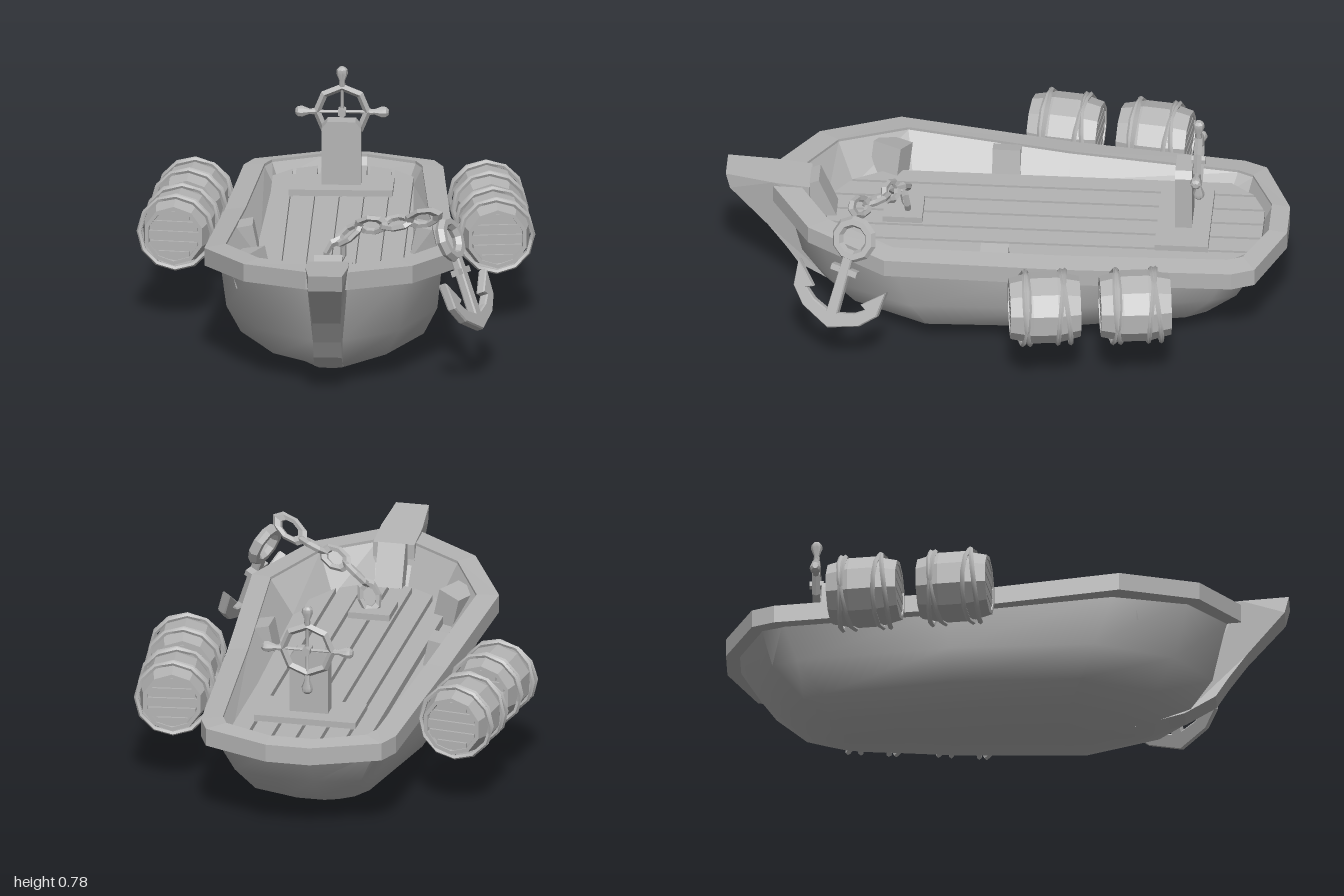
import * as THREE from 'three';
import { toCreasedNormals } from 'three/addons/utils/BufferGeometryUtils.js';

const paint = new THREE.MeshStandardMaterial({ color: 0xb4b4b4 });
paint.name = 'plain grey';

const V = (x, y, z) => new THREE.Vector3(x, y, z);
const crease = (g, angle = 0.5) => toCreasedNormals(g, angle);
function flat(g) {
  const f = g.index ? g.toNonIndexed() : g;
  f.computeVertexNormals();
  return f;
}
function add(parent, name, geometry, x = 0, y = 0, z = 0) {
  const m = new THREE.Mesh(geometry, paint);
  m.name = name;
  m.position.set(x, y, z);
  parent.add(m);
  return m;
}
const box = (parent, name, w, h, d, x, y, z) => add(parent, name, new THREE.BoxGeometry(w, h, d), x, y, z);

// Height of the rail along the boat
const sheer = z => 0.41 + 0.065 * z + 0.03 * z * z;

// Closed ring of points from one half outline (stern to bow) and a height rule
function ring(half, height) {
  const right = half.map(([x, z]) => V(x, height(z), z));
  const left = right.slice().reverse().map(p => V(-p.x, p.y, p.z));
  return right.concat(left);
}
function loft(rows) {
  const n = rows[0].length, pos = [], idx = [];
  rows.forEach(r => r.forEach(p => pos.push(p.x, p.y, p.z)));
  for (let i = 0; i < rows.length - 1; i++) for (let j = 0; j < n; j++) {
    const k = (j + 1) % n, a = i * n + j, b = i * n + k, c = a + n, d = b + n;
    idx.push(a, c, b, b, c, d);
  }
  const g = new THREE.BufferGeometry();
  g.setAttribute('position', new THREE.Float32BufferAttribute(pos, 3));
  g.setIndex(idx);
  return g;
}

const railOuter = [[0.08, -1], [0.32, -0.9], [0.355, -0.82], [0.4, -0.2], [0.45, 0.41], [0.3, 0.69], [0.075, 0.83]];
const railInner = [[0.08, -0.935], [0.255, -0.855], [0.28, -0.8], [0.325, -0.2], [0.375, 0.38], [0.25, 0.62], [0.07, 0.73]];
const floorEdge = [[0.08, -0.91], [0.235, -0.84], [0.25, -0.78], [0.27, -0.2], [0.29, 0.36], [0.19, 0.56], [0.06, 0.65]];
const FLOOR = 0.33;

function buildHull(boat) {
  const keel = [[0, -0.58], [0, -0.57], [0, -0.55], [0, -0.2], [0, 0.22], [0, 0.36], [0, 0.44]];
  const bilge = [[0.05, -0.63], [0.1, -0.61], [0.13, -0.57], [0.18, -0.2], [0.19, 0.22], [0.11, 0.4], [0.04, 0.5]];
  const turn = [[0.06, -0.76], [0.18, -0.72], [0.22, -0.65], [0.31, -0.2], [0.325, 0.27], [0.2, 0.53], [0.05, 0.65]];
  const chine = [[0.07, -0.88], [0.23, -0.83], [0.27, -0.74], [0.36, -0.2], [0.375, 0.32], [0.25, 0.6], [0.05, 0.73]];
  const top = [[0.07, -0.96], [0.29, -0.87], [0.32, -0.79], [0.365, -0.2], [0.395, 0.39], [0.27, 0.65], [0.06, 0.79]];
  add(boat, 'hull', crease(loft([
    ring(keel, () => 0), ring(bilge, () => 0.02), ring(turn, () => 0.08),
    ring(chine, () => 0.19), ring(top, z => sheer(z) - 0.06),
  ]), 0.75));

  const under = z => sheer(z) - 0.075;
  add(boat, 'rail', flat(loft([
    ring(railInner, under), ring(railOuter, under), ring(railOuter, z => sheer(z) - 0.01),
    ring(railInner, sheer), ring(railInner, under),
  ])));
  add(boat, 'innerWall', flat(loft([
    ring(railInner, z => sheer(z) - 0.01), ring(floorEdge, () => FLOOR - 0.02),
    ring(floorEdge.map(([, z]) => [0, z]), () => FLOOR - 0.02),
  ])));

  // Stem post, drawn in side profile and flared at the head
  const profile = [[1, 0.51], [0.985, 0.45], [0.85, 0.29], [0.785, 0.2], [0.74, 0.13], [0.63, 0.065], [0.45, 0.015],
    [0.45, 0.05], [0.6, 0.12], [0.66, 0.2], [0.7, 0.42], [0.7, 0.475], [0.83, 0.49]];
  const stem = new THREE.ExtrudeGeometry(new THREE.Shape(profile.map(p => new THREE.Vector2(-p[0], p[1]))),
    { depth: 0.1, bevelEnabled: false });
  stem.translate(0, 0, -0.05).rotateY(Math.PI / 2);
  const p = stem.attributes.position;
  for (let i = 0; i < p.count; i++) {
    const wide = p.getY(i) > 0.4 ? (p.getZ(i) > 0.9 ? 1.2 : 1.5) : 1;
    p.setX(i, p.getX(i) * wide);
  }
  add(boat, 'stem', flat(stem));
}

// Limit of the floor at a given distance from the centreline
function edgeAt(points, x) {
  for (let i = 1; i < points.length; i++) {
    const [x0, z0] = points[i - 1], [x1, z1] = points[i];
    if (x <= x1) return z0 + (z1 - z0) * Math.max(0, (x - x0) / (x1 - x0));
  }
  return points[points.length - 1][1];
}

function buildDeck(boat) {
  const stern = floorEdge.slice(0, 3), bow = floorEdge.slice(4).reverse();
  const step = 0.0875, gap = 0.006;
  for (const side of [-1, 1]) for (let i = 0; i < 3; i++) {
    const a = i * step + gap, b = i === 2 ? 0.25 : (i + 1) * step - gap;
    const s = new THREE.Shape([[a, edgeAt(stern, a)], [b, edgeAt(stern, b)], [b, edgeAt(bow, b)], [a, edgeAt(bow, a)]]
      .map(q => new THREE.Vector2(side * q[0], -q[1])));
    const g = new THREE.ExtrudeGeometry(s, { depth: 0.03, bevelEnabled: false }).rotateX(-Math.PI / 2);
    add(boat, 'deckPlank', g, 0, FLOOR - 0.02, 0);
  }
  // Knees against the inner wall
  for (const s of [-1, 1]) box(boat, 'sideKnee', 0.07, 0.1, 0.1, s * 0.315, 0.36, 0.025).rotation.z = -s * 0.2;
  const bowKnee = box(boat, 'quarterKnee', 0.09, 0.12, 0.11, -0.285, 0.37, 0.435);
  bowKnee.rotation.set(0, -0.45, 0.25);
  box(boat, 'stemKnee', 0.1, 0.16, 0.08, 0, 0.4, 0.675).rotation.x = 0.4;
}

function buildHelm(boat) {
  box(boat, 'helmPlate', 0.37, 0.025, 0.19, 0, 0.35, -0.63);
  const post = new THREE.Shape([[-0.07, 0], [0.07, 0], [0.07, 0.225], [0.05, 0.25], [-0.05, 0.25], [-0.07, 0.225]]
    .map(q => new THREE.Vector2(...q)));
  add(boat, 'helmPost', new THREE.ExtrudeGeometry(post, { depth: 0.06, bevelEnabled: false }), 0, 0.345, -0.66);
  const wheel = new THREE.Group();
  wheel.name = 'steeringWheel';
  wheel.position.set(0, 0.61, -0.68);
  add(wheel, 'wheelRim', flat(new THREE.TorusGeometry(0.09, 0.014, 4, 8)));
  add(wheel, 'hub', flat(new THREE.CylinderGeometry(0.016, 0.016, 0.05, 6).rotateX(Math.PI / 2)));
  const handle = [[0, 0.01], [0.006, 0.01], [0.006, 0.085], [0.012, 0.1], [0.01, 0.115], [0.021, 0.142], [0.019, 0.157],
    [0.01, 0.166], [0, 0.167]].map(q => new THREE.Vector2(...q));
  for (let i = 0; i < 4; i++)
    add(wheel, 'spoke', crease(new THREE.LatheGeometry(handle, 8))).rotation.z = i * Math.PI / 2;
  boat.add(wheel);
}

function buildBarrel(boat, x, z, side) {
  const barrel = new THREE.Group();
  barrel.name = 'barrel';
  barrel.position.set(x, 0.335, z);
  barrel.rotation.y = side * 0.13;
  // Staves with a recessed head at both ends
  const profile = [[0, -0.112], [0.092, -0.112], [0.094, -0.125], [0.108, -0.125], [0.127, -0.045], [0.127, 0.045],
    [0.108, 0.125], [0.094, 0.125], [0.092, 0.112], [0, 0.112]].map(q => new THREE.Vector2(...q));
  add(barrel, 'staves', flat(new THREE.LatheGeometry(profile, 10).rotateX(Math.PI / 2)));
  for (const end of [-1, 1]) for (let i = -2; i <= 2; i++) {
    const y = i * 0.037;
    box(barrel, 'headBoard', 2 * Math.sqrt(0.0085 - y * y), 0.031, 0.012, 0, y, end * 0.115);
  }
  // Rope turns, each a little askew
  [[-0.075, 0.1, 0.06], [-0.06, -0.08, -0.1], [0.06, 0.09, -0.08], [0.075, -0.1, 0.07]].forEach(([d, tx, ty]) => {
    const rope = add(barrel, 'rope', crease(new THREE.TorusGeometry(0.131, 0.009, 5, 12)), 0, 0, d);
    rope.rotation.set(tx, ty, 0);
  });
  boat.add(barrel);
}

function buildAnchor(boat) {
  // Anchor lies in the plane of its arms and its slanting shank
  const crown = V(0.535, 0.2, 0.6);
  const arm = V(-0.13, 0.04, 0.315).normalize();
  const up = V(-0.13, 0.33, -0.05);
  up.addScaledVector(arm, -up.dot(arm)).normalize();
  const anchor = new THREE.Group();
  anchor.name = 'anchor';
  anchor.setRotationFromMatrix(new THREE.Matrix4().makeBasis(arm, up, arm.clone().cross(up)));
  anchor.position.copy(crown);
  const half = [[0.11, 0.045], [0.162, 0.1], [0.172, 0.19], [0.1, 0.12], [0.122, 0.108], [0.08, 0.075], [0.018, 0.055], [0.014, 0.28]];
  const outline = [[0, 0], ...half, ...half.slice().reverse().map(([a, b]) => [-a, b])];
  add(anchor, 'anchorBody', new THREE.ExtrudeGeometry(new THREE.Shape(outline.map(q => new THREE.Vector2(...q))),
    { depth: 0.022, bevelEnabled: true, bevelSize: 0.004, bevelThickness: 0.006, bevelSegments: 1 }).translate(0, 0, -0.011));
  box(anchor, 'stock', 0.1, 0.022, 0.03, 0, 0.215, 0);
  add(anchor, 'anchorRing', flat(new THREE.TorusGeometry(0.064, 0.021, 6, 10)), 0, 0.335, 0);
  boat.add(anchor);

  // Chain from the deck plate over the rail to the anchor ring
  box(boat, 'chainPlate', 0.15, 0.025, 0.14, 0, 0.35, 0.37);
  const path = [V(0, 0.355, 0.36), V(0.025, 0.45, 0.37), V(0.1, 0.51, 0.385), V(0.19, 0.535, 0.425),
    V(0.28, 0.555, 0.475), V(0.385, 0.605, 0.53)];
  for (let i = 1; i < path.length; i++) {
    const a = path[i - 1], b = path[i], dir = b.clone().sub(a);
    const link = flat(new THREE.TorusGeometry(0.032, 0.012, 5, 8).scale((dir.length() / 2 + 0.022) / 0.044, 1, 1));
    const m = add(boat, 'chainLink', link);
    m.position.copy(a).lerp(b, 0.5);
    const roll = new THREE.Quaternion().setFromAxisAngle(V(1, 0, 0), i % 2 ? 0.4 : 0.4 + Math.PI / 2);
    m.quaternion.setFromUnitVectors(V(1, 0, 0), dir.normalize()).multiply(roll);
  }
}

export function createModel() {
  const boat = new THREE.Group();
  boat.name = 'boat';
  buildHull(boat);
  buildDeck(boat);
  buildHelm(boat);
  for (const s of [-1, 1]) {
    buildBarrel(boat, s * 0.525, -0.49, s);
    buildBarrel(boat, s * 0.56, -0.17, s);
  }
  buildAnchor(boat);
  return boat;
}
